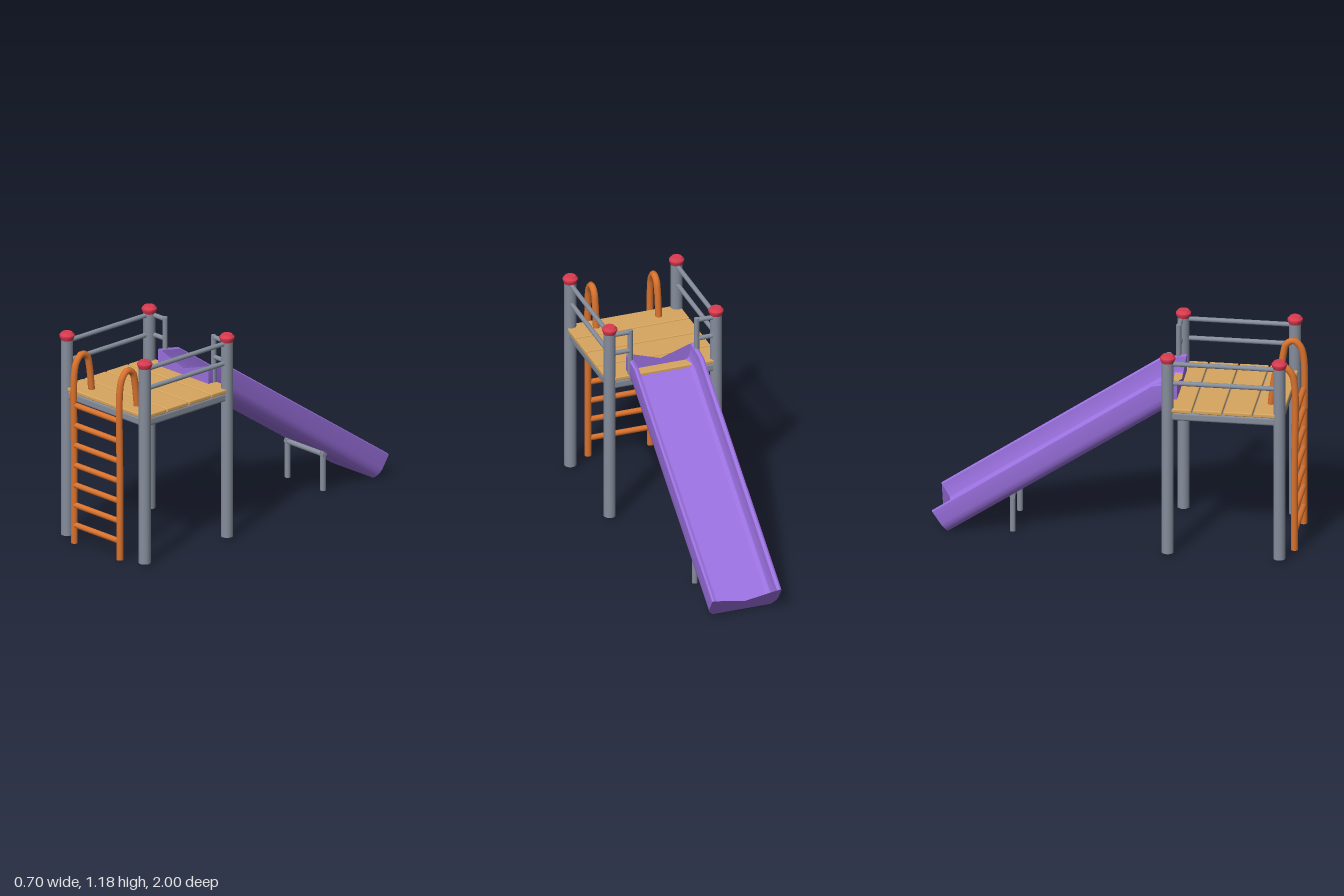
import * as THREE from 'three';
import { toCreasedNormals } from 'three/addons/utils/BufferGeometryUtils.js';
import { RoundedBoxGeometry } from 'three/addons/geometries/RoundedBoxGeometry.js';

const material = (name, color, extra = {}) => {
  const m = new THREE.MeshStandardMaterial({ color, ...extra });
  m.name = name;
  return m;
};

export function createModel() {
  const steel = material('grey steel', 0x858d9b);
  const wood = material('wood', 0xd8a65f);
  const orange = material('orange paint', 0xd9722e);
  const red = material('red plastic', 0xd93a50);
  const purple = material('purple plastic', 0x9a70de, { side: THREE.DoubleSide });

  const model = new THREE.Group();
  model.name = 'playgroundSlide';

  const add = (name, geometry, mat, x = 0, y = 0, z = 0) => {
    const mesh = new THREE.Mesh(geometry, mat);
    mesh.name = name;
    mesh.position.set(x, y, z);
    model.add(mesh);
    return mesh;
  };

  // Round bar between two points
  const bar = (name, from, to, radius, mat, sides = 16) => {
    const a = new THREE.Vector3(...from);
    const b = new THREE.Vector3(...to);
    const dir = b.clone().sub(a);
    const mesh = add(name, new THREE.CylinderGeometry(radius, radius, dir.length(), sides), mat);
    mesh.position.copy(a).add(b).multiplyScalar(0.5);
    mesh.quaternion.setFromUnitVectors(new THREE.Vector3(0, 1, 0), dir.normalize());
    return mesh;
  };

  const postX = 0.307, frontZ = 0.915, backZ = 0.305;

  // Corner posts with faceted caps
  const capProfile = [[0, 1.137], [0.034, 1.137], [0.042, 1.157], [0.042, 1.165], [0.029, 1.18], [0, 1.18]]
    .map(([r, y]) => new THREE.Vector2(r, y));
  const capGeometry = toCreasedNormals(new THREE.LatheGeometry(capProfile, 16), 0.45);
  for (const x of [-postX, postX]) {
    for (const z of [frontZ, backZ]) {
      bar('post', [x, 0.015, z], [x, 1.15, z], 0.033, steel, 24);
      add('postCap', capGeometry, red, x, 0, z);
    }
  }

  // Deck: steel base and four planks
  add('deckBase', new RoundedBoxGeometry(0.65, 0.05, 0.65, 3, 0.014), steel, 0, 0.824, 0.607);
  for (let i = 0; i < 4; i++) {
    add('plank', new RoundedBoxGeometry(0.66, 0.023, 0.158, 2, 0.006), wood, 0, 0.859, 0.359 + i * 0.1655);
  }

  for (const s of [-1, 1]) {
    // Side rails, and short rails beside the slide entrance
    for (const y of [1.015, 1.128]) {
      bar('sideRail', [s * postX, y, backZ], [s * postX, y, frontZ], 0.013, steel);
      bar('entranceRail', [s * postX, y, 0.295], [s * 0.192, y, 0.295], 0.013, steel);
    }
    bar('entranceUpright', [s * 0.192, 0.84, 0.295], [s * 0.192, 1.14, 0.295], 0.014, steel);

    // Ladder stile arching over onto the deck
    const path = [[0.015, 0.98], [0.5, 0.98], [0.99, 0.98], [1.055, 0.963], [1.09, 0.926],
      [1.068, 0.885], [1.01, 0.869], [0.85, 0.85]];
    const curve = new THREE.CatmullRomCurve3(path.map(([y, z]) => new THREE.Vector3(s * 0.18, y, z)), false, 'centripetal');
    add('ladderStile', new THREE.TubeGeometry(curve, 64, 0.019, 12), orange);
    const foot = add('ladderFoot', new THREE.CircleGeometry(0.019, 12), orange, s * 0.18, 0.015, 0.98);
    foot.rotation.x = Math.PI / 2;

    // Slide support leg
    bar('slideLeg', [s * 0.14, 0.015, -0.565], [s * 0.14, 0.24, -0.565], 0.016, steel);
  }
  bar('slideCrossbar', [-0.155, 0.222, -0.565], [0.155, 0.222, -0.565], 0.015, steel);

  // Ladder rungs
  for (let i = 0; i < 7; i++) {
    const y = 0.12 + i * 0.115;
    bar('rung', [-0.172, y, 0.98], [0.172, y, 0.98], 0.016, orange);
  }

  add('slideChute', chuteGeometry(), purple);
  return model;
}

// Chute: a trough section swept through three stations, each end closed by a V-topped plate
function chuteGeometry() {
  // Half section: x, and height as a fraction of the depth; up the outside, then down the inside
  const outer = [[0.165, 0], [0.181, 0.1], [0.193, 0.22], [0.2, 0.4], [0.2, 0.96], [0.19, 1]];
  const inner = [[0.174, 0.96], [0.171, 0.62], [0.162, 0.43], [0.14, 0.325]];
  const mirror = (pts) => pts.map(([x, h]) => [-x, h]).reverse();
  const section = [...outer, ...inner, ...mirror(inner), ...mirror(outer)];
  const plate = [[0, 0.59], ...mirror(outer), ...outer];

  // Stations: bottom z and y, then the depth direction
  const stations = [
    { z: 0.34, y: 0.818, dz: 0, dy: 0.152 },
    { z: 0.27, y: 0.8, dz: -0.07, dy: 0.145 },
    { z: -0.915, y: 0.003, dz: -0.085, dy: 0.127 },
  ];
  const point = (st, [x, h]) => [x, st.y + h * st.dy, st.z + h * st.dz];

  const positions = [];
  const triangle = (a, b, c) => positions.push(...a, ...b, ...c);
  for (let i = 0; i < stations.length - 1; i++) {
    section.forEach((p, k) => {
      const q = section[(k + 1) % section.length];
      const a = point(stations[i], p), b = point(stations[i], q);
      const c = point(stations[i + 1], p), d = point(stations[i + 1], q);
      triangle(a, c, b);
      triangle(b, c, d);
    });
  }
  // End plates
  for (let k = 1; k < plate.length - 1; k++) {
    const [top, bottom] = [stations[0], stations[2]];
    triangle(point(top, plate[0]), point(top, plate[k]), point(top, plate[k + 1]));
    triangle(point(bottom, plate[0]), point(bottom, plate[k + 1]), point(bottom, plate[k]));
  }
  const geometry = new THREE.BufferGeometry();
  geometry.setAttribute('position', new THREE.Float32BufferAttribute(positions, 3));
  return toCreasedNormals(geometry, 0.6);
}
